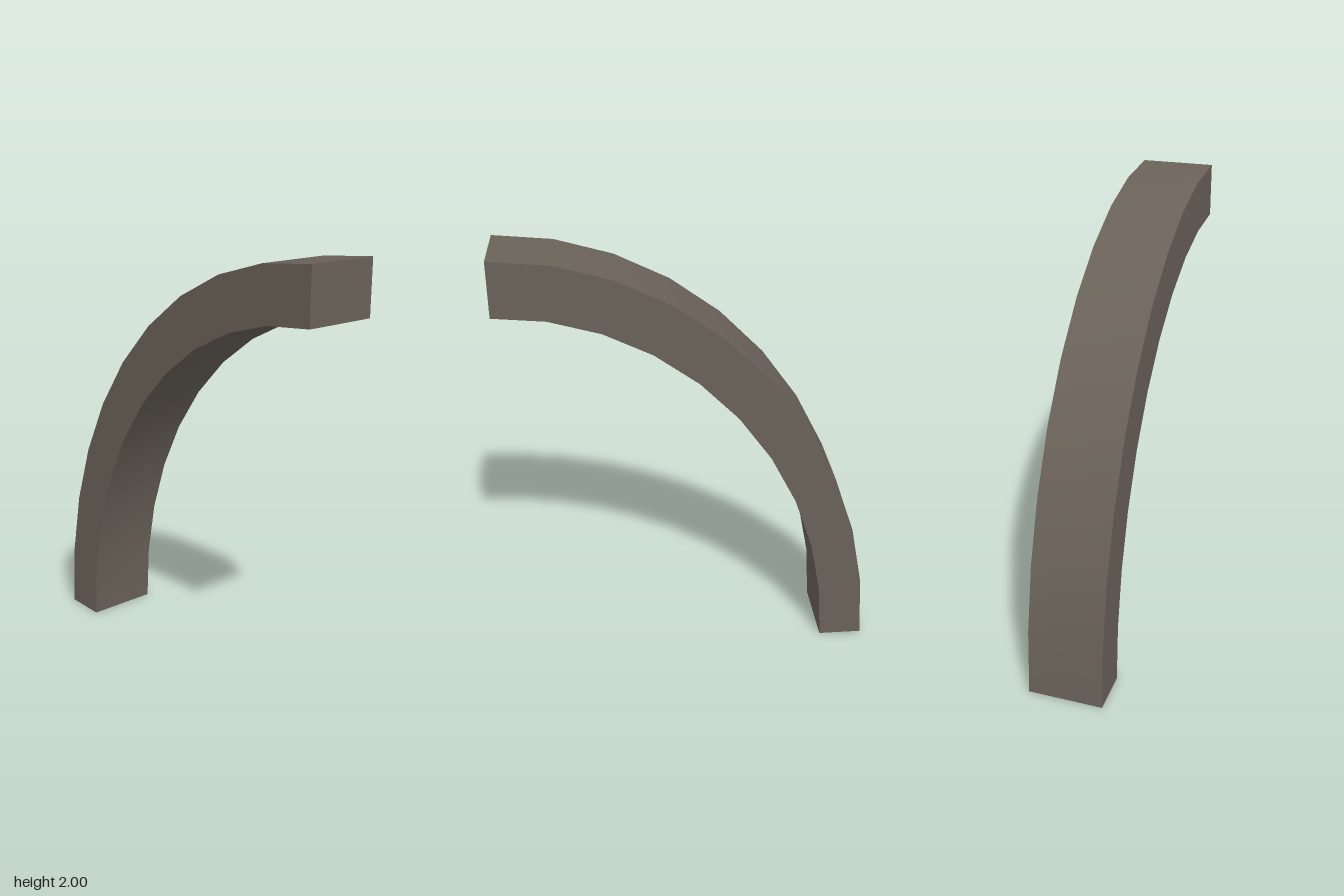
import * as THREE from 'three';
import { toCreasedNormals } from 'three/addons/utils/BufferGeometryUtils.js';

const SEGMENTS = 10;
const CENTRE_X = 0.845;
const DEPTH = 0.344;

// Points along a quarter ellipse, from the foot up to the crown
function quarterEllipse(rx, ry) {
  const points = [];
  for (let i = 0; i <= SEGMENTS; i++) {
    const a = (i / SEGMENTS) * Math.PI / 2;
    points.push(new THREE.Vector2(CENTRE_X - rx * Math.cos(a), ry * Math.sin(a)));
  }
  return points;
}

export function createModel() {
  const group = new THREE.Group();
  group.name = 'archHalf';

  const stone = new THREE.MeshStandardMaterial({ color: 0x6a6259 });
  stone.name = 'darkStone';

  // Curved rib: the band between the outer and inner ellipses
  const outer = quarterEllipse(1.69, 2);
  const inner = quarterEllipse(1.485, 1.755).reverse();
  const profile = new THREE.Shape([...outer, ...inner]);
  const solid = new THREE.ExtrudeGeometry(profile, { depth: DEPTH, bevelEnabled: false });
  solid.translate(0, 0, -DEPTH / 2);

  // Smooth along the curve, sharp at the long edges and ends
  const rib = new THREE.Mesh(toCreasedNormals(solid, 0.6), stone);
  rib.name = 'archRib';
  group.add(rib);

  return group;
}
